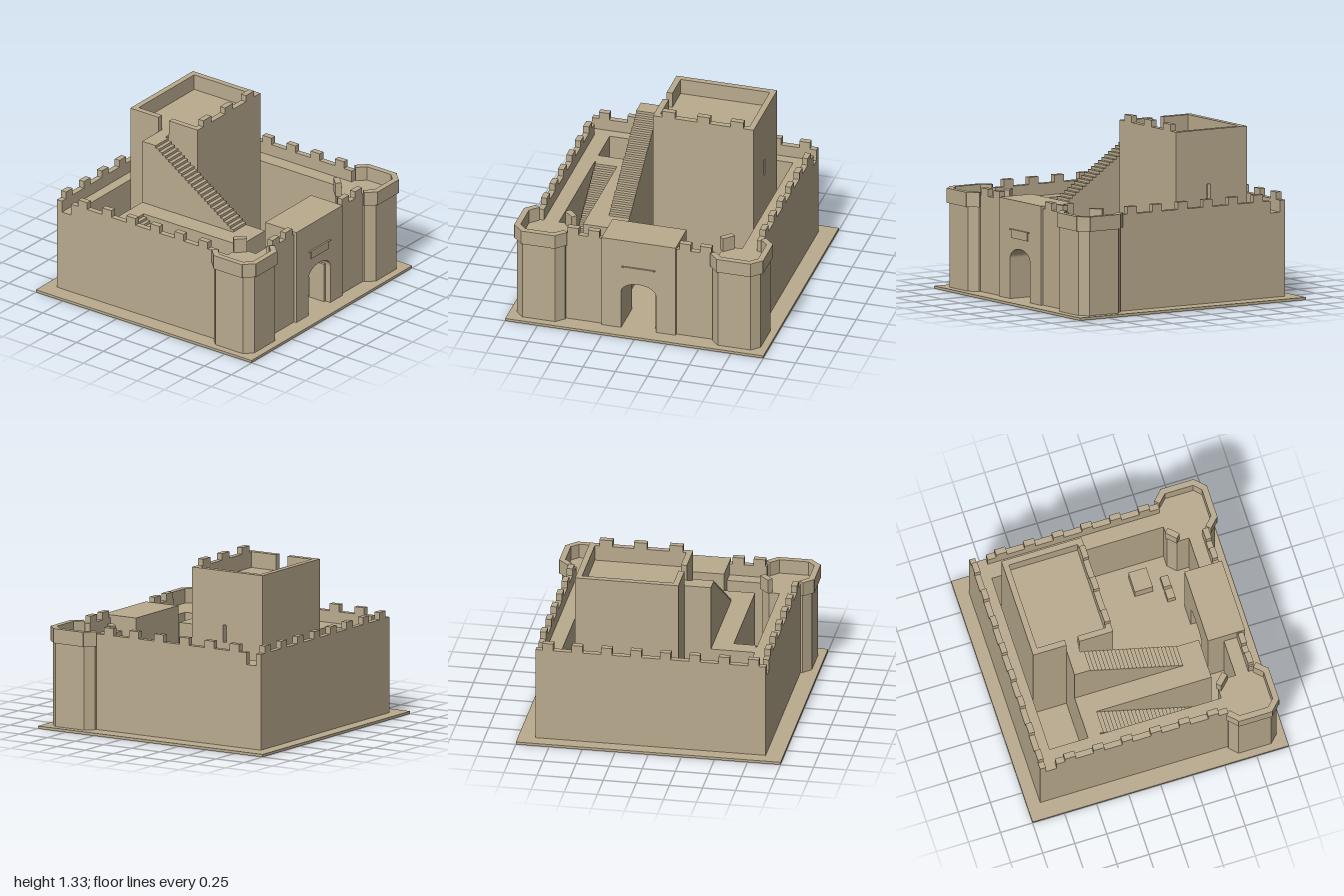
import * as THREE from 'three';

const stone = new THREE.MeshStandardMaterial({ color: 0xbaab8e });
stone.name = 'sandstone';

const GROUND = 0.02, WALK = 0.655, PARAPET = 0.745, MERLON = 0.8, ROOF = 1.16, KEEP_TOP = 1.28;

function add(parent, name, geometry) {
  const mesh = new THREE.Mesh(geometry, stone);
  mesh.name = name;
  parent.add(mesh);
  return mesh;
}

// Box given by its limits on each axis
function block(parent, name, x0, x1, y0, y1, z0, z1) {
  const mesh = add(parent, name, new THREE.BoxGeometry(x1 - x0, y1 - y0, z1 - z0));
  mesh.position.set((x0 + x1) / 2, (y0 + y1) / 2, (z0 + z1) / 2);
  return mesh;
}

function group(parent, name) {
  const g = new THREE.Group();
  g.name = name;
  parent.add(g);
  return g;
}

function rectangle(x0, x1, y0, y1, Type = THREE.Shape) {
  const s = new Type();
  s.moveTo(x0, y0);
  s.lineTo(x1, y0);
  s.lineTo(x1, y1);
  s.lineTo(x0, y1);
  s.closePath();
  return s;
}

// Stairs dropping towards +x, filled down to their base
function stairs(parent, name, x0, x1, base, top, z0, z1, count) {
  const run = (x1 - x0) / count, rise = (top - base) / count;
  const s = new THREE.Shape();
  s.moveTo(x0, base);
  for (let i = 0; i < count; i++) {
    const y = top - rise * i;
    s.lineTo(x0 + run * i, y);
    s.lineTo(x0 + run * (i + 1), y);
  }
  s.lineTo(x1, base);
  s.closePath();
  const mesh = add(parent, name, new THREE.ExtrudeGeometry(s, { depth: z1 - z0, bevelEnabled: false }));
  mesh.position.z = z0;
}

// Octagonal corner tower with a parapet open to the wall walks
function tower(parent, side) {
  const g = group(parent, side > 0 ? 'frontTower' : 'backTower');
  g.position.set(0.7525, 0, 0.7575 * side);
  const h = 0.1875, c = 0.1275;
  const outline = [[h, -c], [h, c], [c, h], [-c, h], [-h, c], [-h, -c], [-c, -h], [c, -h]];
  const shape = new THREE.Shape(outline.map(([x, y]) => new THREE.Vector2(x, y)));
  const body = new THREE.ExtrudeGeometry(shape, { depth: WALK - GROUND, bevelEnabled: false });
  body.rotateX(-Math.PI / 2);
  add(g, 'towerBody', body).position.y = GROUND;
  for (const degrees of [-45, 0, 45, 90, 135, 225]) {
    const a = (degrees * Math.PI / 180) * side;
    const straight = degrees % 90 === 0;
    const d = straight ? 0.185 : 0.215;
    const panel = add(g, 'towerParapet', new THREE.BoxGeometry(0.045, 0.11, straight ? 0.265 : 0.1));
    panel.position.set(Math.cos(a) * d, 0.71, Math.sin(a) * d);
    panel.rotation.y = -a;
  }
}

function outerWalls(parent) {
  const g = group(parent, 'outerWalls');
  block(g, 'rearWall', -0.9, -0.775, GROUND, WALK, -0.87, 0.87);
  block(g, 'rearParapet', -0.9, -0.855, WALK, PARAPET, -0.87, 0.87);
  for (let i = 0; i < 8; i++) {
    const z = (i - 3.5) * 0.222;
    block(g, 'merlon', -0.9, -0.855, PARAPET, MERLON, z - 0.041, z + 0.041);
  }
  for (const s of [-1, 1]) {
    const span = (a, b) => (s > 0 ? [a, b] : [-b, -a]);
    // Long side walls
    block(g, 'sideWall', -0.775, 0.6, GROUND, WALK, ...span(0.71, 0.87));
    block(g, 'sideParapet', -0.77, 0.57, WALK, PARAPET, ...span(0.825, 0.87));
    for (let i = 0; i < 6; i++) {
      const x = -0.663 + i * 0.2235;
      block(g, 'merlon', x - 0.042, x + 0.042, PARAPET, MERLON, ...span(0.825, 0.87));
    }
    // Short walls between gatehouse and towers
    block(g, 'gateWall', 0.72, 0.865, GROUND, WALK, ...span(0.285, 0.6));
    block(g, 'gateWallParapet', 0.82, 0.865, WALK, PARAPET, ...span(0.285, 0.57));
    for (const z of [0.31, 0.47])
      block(g, 'merlon', 0.82, 0.865, PARAPET, MERLON, ...span(z, z + 0.088));
    tower(g, s);
  }
}

// Gate block with an arched passage right through it
function gatehouse(parent) {
  const g = group(parent, 'gatehouse');
  const shape = new THREE.Shape();
  shape.moveTo(-0.287, GROUND);
  shape.lineTo(-0.135, GROUND);
  shape.lineTo(-0.135, 0.325);
  shape.absellipse(0, 0.325, 0.135, 0.08, Math.PI, 0, true);
  shape.lineTo(0.135, GROUND);
  shape.lineTo(0.287, GROUND);
  shape.lineTo(0.287, 0.765);
  shape.lineTo(-0.287, 0.765);
  shape.closePath();
  const geo = new THREE.ExtrudeGeometry(shape, { depth: 0.29, bevelEnabled: false, curveSegments: 16 });
  geo.rotateY(Math.PI / 2);
  add(g, 'gateBlock', geo).position.x = 0.595;
  block(g, 'gateLeaf', 0.7, 0.84, GROUND, 0.33, -0.134, -0.118);
  block(g, 'plaque', 0.88, 0.893, 0.48, 0.54, -0.11, 0.11);
  block(g, 'plaqueLedge', 0.88, 0.898, 0.54, 0.547, -0.13, 0.13);
}

function keep(parent) {
  const g = group(parent, 'keep');
  block(g, 'keepCore', -0.69, -0.15, GROUND, ROOF, -0.555, 0.135);
  block(g, 'keepRearWall', -0.735, -0.69, GROUND, KEEP_TOP, -0.6, 0.18);
  block(g, 'keepGateSideWall', -0.155, -0.11, GROUND, KEEP_TOP, -0.6, 0.18);
  for (const z of [0.06, -0.21, -0.47])
    block(g, 'keepMerlon', -0.155, -0.11, KEEP_TOP, 1.33, z - 0.05, z + 0.05);
  // Back wall with an arrow slit
  const back = rectangle(-0.69, -0.155, GROUND, KEEP_TOP);
  back.holes.push(rectangle(-0.415, -0.385, 0.74, 0.87, THREE.Path));
  add(g, 'keepBackWall', new THREE.ExtrudeGeometry(back, { depth: 0.045, bevelEnabled: false })).position.z = -0.6;
  // Front wall with a doorway at roof level
  block(g, 'keepFrontWall', -0.69, -0.155, GROUND, ROOF, 0.135, 0.18);
  block(g, 'keepFrontParapet', -0.69, -0.475, ROOF, KEEP_TOP, 0.135, 0.18);
  block(g, 'keepFrontParapet', -0.375, -0.155, ROOF, KEEP_TOP, 0.135, 0.18);
}

function stairways(parent) {
  const g = group(parent, 'stairways');
  block(g, 'stairTerrace', -0.475, 0.545, GROUND, WALK, 0.22, 0.53);
  block(g, 'terraceLink', -0.475, -0.38, GROUND, WALK, 0.53, 0.71);
  block(g, 'terraceKeepLink', -0.475, -0.38, GROUND, WALK, 0.18, 0.22);
  block(g, 'upperLanding', -0.475, -0.38, WALK, ROOF, 0.18, 0.38);
  stairs(g, 'upperStairs', -0.38, 0.37, WALK, ROOF, 0.22, 0.38, 25);
  stairs(g, 'lowerStairs', -0.38, 0.545, GROUND, WALK, 0.53, 0.7, 31);
}

export function createModel() {
  const model = new THREE.Group();
  model.name = 'castle';
  block(model, 'base', -1, 1, 0, GROUND, -1, 1);
  outerWalls(model);
  gatehouse(model);
  keep(model);
  stairways(model);
  // Courtyard furniture
  block(model, 'courtyardTable', 0.265, 0.405, GROUND, 0.12, -0.63, -0.47);
  block(model, 'courtyardSeat', 0.485, 0.545, GROUND, 0.08, -0.54, -0.455);
  block(model, 'courtyardSeat', 0.485, 0.545, GROUND, 0.08, -0.435, -0.355);
  return model;
}
